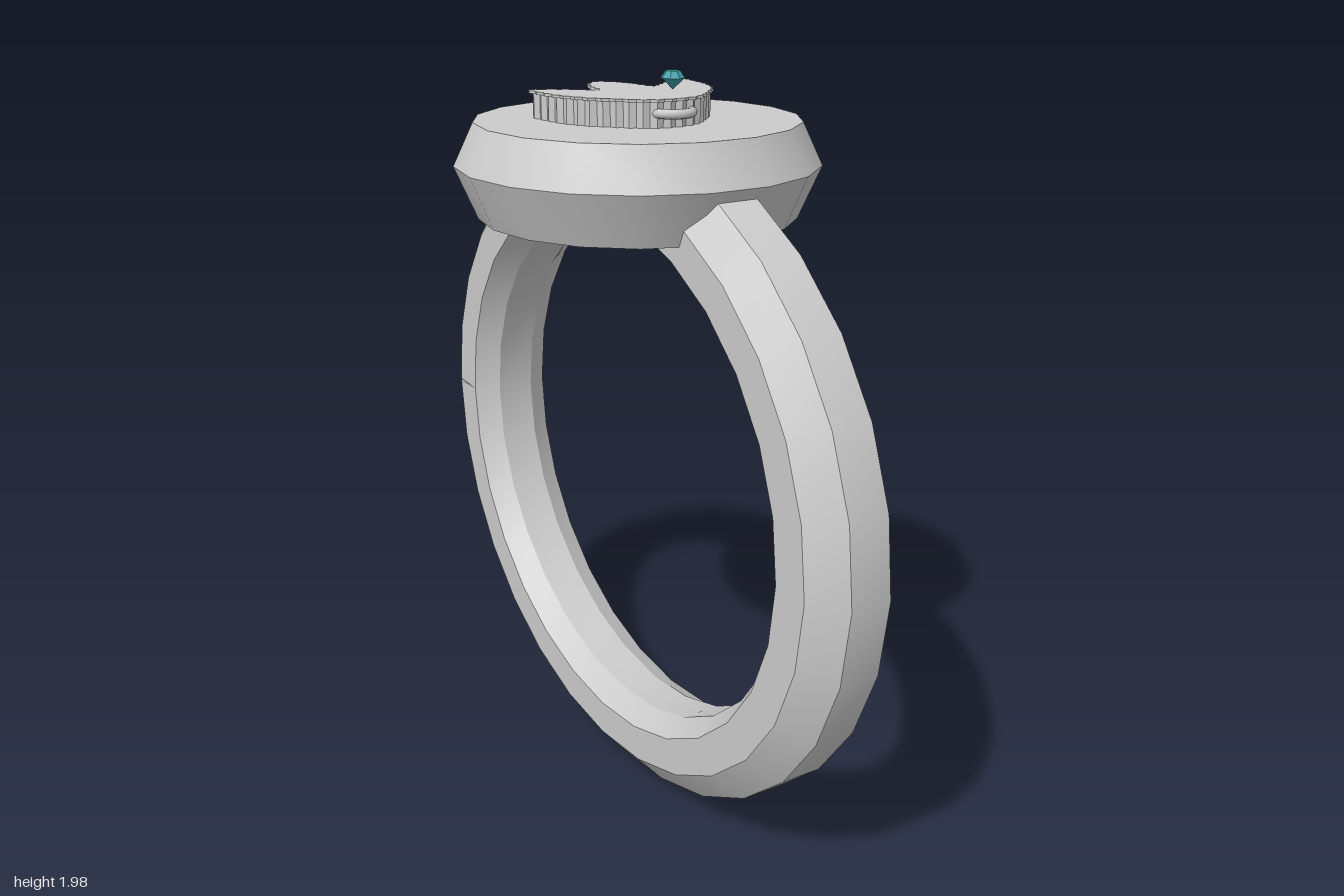
import * as THREE from 'three';
import { toCreasedNormals } from 'three/addons/utils/BufferGeometryUtils.js';

const grey = new THREE.MeshStandardMaterial({ color: 0xcccccc });
const teal = new THREE.MeshStandardMaterial({ color: 0x3f9fa8, flatShading: true });

function part(group, name, geometry, material = grey) {
  const mesh = new THREE.Mesh(geometry, material);
  mesh.name = name;
  group.add(mesh);
  return mesh;
}

// Chamfered octagonal section swept round a slightly flattened hoop, split at the back
function bandGeometry() {
  const section = [[-0.055, 1], [0.055, 1], [0.12, 0.915], [0.12, 0.808],
    [0.055, 0.764], [-0.055, 0.764], [-0.12, 0.808], [-0.12, 0.915]];
  const n = section.length, steps = 28, centre = 0.903;
  const pos = [], index = [];
  for (let i = 0; i <= steps; i++) {
    const t = (i / steps) * Math.PI * 2;
    const open = i === 0 ? 0.018 : i === steps ? -0.008 : 0;
    for (const [x, r] of section) {
      const gap = open * Math.max(0, r - 0.89) / 0.11;
      pos.push(x, centre + centre * r * Math.sin(t) + gap, -r * Math.cos(t));
    }
  }
  for (let i = 0; i < steps; i++) {
    for (let j = 0; j < n; j++) {
      const a = i * n + j, b = i * n + (j + 1) % n, c = a + n, d = b + n;
      index.push(a, c, b, b, c, d);
    }
  }
  // end faces at the split
  const e = steps * n;
  for (let j = 1; j < n - 1; j++) index.push(0, j, j + 1, e, e + j + 1, e + j);
  const g = new THREE.BufferGeometry();
  g.setAttribute('position', new THREE.Float32BufferAttribute(pos, 3));
  g.setIndex(index);
  return toCreasedNormals(g, 0.5);
}

function latheGeometry(profile, sides) {
  return new THREE.LatheGeometry(profile.map(([r, y]) => new THREE.Vector2(r, y)), sides, Math.PI / 2);
}

// Small saw teeth along a smooth curve
function serrate(points, teeth) {
  const curve = new THREE.CatmullRomCurve3(points.map(([x, y]) => new THREE.Vector3(x, y, 0)));
  const out = [];
  for (let i = 0; i < teeth * 2; i++) {
    const u = i / (teeth * 2), p = curve.getPointAt(u), t = curve.getTangentAt(u);
    const k = i % 2 ? -0.008 : 0;
    out.push(new THREE.Vector2(p.x - t.y * -k, p.y + t.x * -k));
  }
  return out;
}

// Three-pointed leaf outline, right half mirrored to the left
function leafShape() {
  const half = [
    ...serrate([[0, 0.217], [0.037, 0.18], [0.058, 0.13], [0.066, 0.085], [0.075, 0.042]], 6),
    ...serrate([[0.075, 0.042], [0.11, 0.07], [0.17, 0.12], [0.233, 0.148]], 5),
    ...serrate([[0.233, 0.148], [0.222, 0.05], [0.21, 0], [0.18, -0.06], [0.135, -0.11],
      [0.085, -0.16], [0.045, -0.18], [0, -0.185]], 13),
  ];
  const left = half.slice(1).reverse().map((p) => new THREE.Vector2(-p.x, p.y));
  return new THREE.Shape([...half, new THREE.Vector2(0, -0.185), ...left]);
}

function leafSlab(depth, y, scale) {
  const g = new THREE.ExtrudeGeometry(leafShape(), { depth, bevelEnabled: false });
  g.scale(scale, scale, 1);
  g.rotateX(-Math.PI / 2);
  g.translate(0, y, 0);
  return g;
}

export function createModel() {
  const ring = new THREE.Group();
  ring.name = 'signetRing';

  part(ring, 'band', bandGeometry());
  part(ring, 'bezelDisc', toCreasedNormals(
    latheGeometry([[0, 1.6], [0.412, 1.6], [0.47, 1.735], [0.418, 1.842], [0, 1.842]], 18), 0.5));

  // raised leaf with a thin overhanging top
  part(ring, 'leafBody', leafSlab(0.068, 1.838, 0.96));
  part(ring, 'leafTop', leafSlab(0.007, 1.904, 1));

  // loop at the leaf's base
  const loop = part(ring, 'leafLoop', new THREE.TorusGeometry(0.049, 0.012, 8, 24));
  loop.rotation.x = Math.PI / 2;
  loop.position.set(0, 1.877, 0.165);

  // faceted gem above the loop
  const gem = part(ring, 'gem',
    latheGeometry([[0, 1.93], [0.03, 1.958], [0.018, 1.975], [0, 1.975]], 8), teal);
  gem.position.z = 0.165;

  return ring;
}
